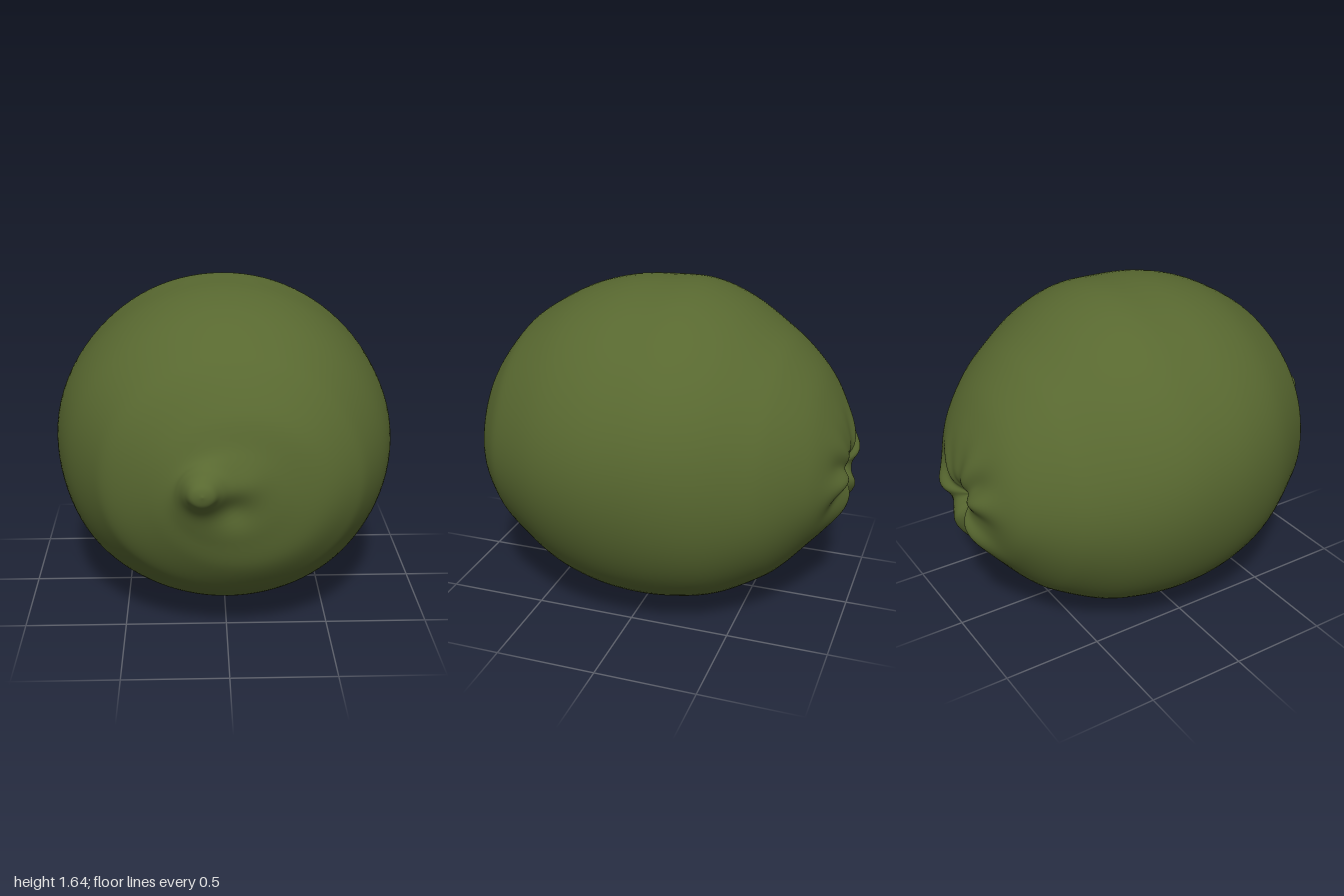
import * as THREE from 'three';
import { mergeVertices } from 'three/addons/utils/BufferGeometryUtils.js';

// Cross-sections from blossom tip to stem end: z, left x, right x, bottom y, top y
const SECTIONS = [
  [1.0, -0.12, -0.12, 0.9, 0.9],
  [0.985, -0.17, -0.07, 0.85, 0.94],
  [0.94, -0.2, -0.03, 0.81, 0.97],
  [0.89, -0.23, 0.05, 0.74, 1.0],
  [0.85, -0.27, 0.26, 0.61, 1.06],
  [0.8, -0.37, 0.45, 0.46, 1.2],
  [0.7, -0.55, 0.59, 0.32, 1.35],
  [0.6, -0.64, 0.67, 0.23, 1.445],
  [0.4, -0.765, 0.775, 0.1, 1.56],
  [0.2, -0.83, 0.83, 0.03, 1.62],
  [0.0, -0.85, 0.845, 0.003, 1.637],
  [-0.2, -0.835, 0.83, 0.012, 1.632],
  [-0.4, -0.77, 0.765, 0.055, 1.56],
  [-0.6, -0.66, 0.645, 0.16, 1.43],
  [-0.7, -0.59, 0.565, 0.24, 1.35],
  [-0.8, -0.5, 0.46, 0.35, 1.245],
  [-0.87, -0.42, 0.37, 0.435, 1.14],
  [-0.93, -0.3, 0.25, 0.53, 1.02],
  [-0.965, -0.19, 0.13, 0.62, 0.9],
  [-0.97, -0.09, 0.03, 0.7, 0.81],
  [-0.965, -0.03, -0.03, 0.75, 0.75],
];

const bump = (d, width) => Math.exp(-((d / width) ** 2));

// Soft dents beside the tip and a puckered star of folds round the stem scar
function shapeSkin(p) {
  if (p.z > 0.7) {
    p.z -= 0.03 * bump(Math.hypot(p.x - 0.02, p.y - 0.78), 0.08);
    p.z += 0.015 * bump(Math.hypot(p.x - 0.08, p.y - 0.9), 0.08);
  }
  if (p.z < -0.6) {
    const dx = p.x + 0.03, dy = p.y - 0.75;
    const r = Math.hypot(dx, dy), a = Math.atan2(dy, dx);
    const folds = Math.cos(6 * a + 0.8) + 0.6 * Math.cos(5 * a - 1) + 0.4 * Math.cos(9 * a);
    p.z += 0.06 * bump(r, 0.07) - 0.017 * folds * bump(r - 0.2, 0.11);
    p.z = Math.max(p.z, -1);
  }
  return p;
}

function fruitGeometry() {
  const rings = 120, sides = 96;
  const spline = (fn) => new THREE.SplineCurve(SECTIONS.map((s) => new THREE.Vector2(...fn(s))));
  const horizontal = spline(([, l, r]) => [(l + r) / 2, (r - l) / 2]);
  const vertical = spline(([, , , b, t]) => [(b + t) / 2, (t - b) / 2]);
  const depth = spline(([z]) => [z, 0]);
  const positions = [], index = [];
  for (let i = 0; i <= rings; i++) {
    const t = i / rings;
    const h = horizontal.getPoint(t), v = vertical.getPoint(t), z = depth.getPoint(t).x;
    for (let j = 0; j < sides; j++) {
      const a = (j / sides) * Math.PI * 2;
      // gentle unevenness of the rind
      const k = 1 + 0.006 * Math.sin(5 * a + 3 * z) * Math.cos(a) ** 2;
      const p = shapeSkin(new THREE.Vector3(
        h.x + h.y * k * Math.cos(a), v.x + v.y * k * Math.sin(a), z));
      positions.push(p.x, p.y, p.z);
      if (i < rings) {
        const n = (j + 1) % sides;
        const a0 = i * sides + j, a1 = i * sides + n;
        const b0 = a0 + sides, b1 = a1 + sides;
        // single triangles at the two closed ends
        if (i < rings - 1) index.push(a0, b0, b1);
        else index.push(a0, b0, a1);
        if (i > 0 && i < rings - 1) index.push(a0, b1, a1);
      }
    }
  }
  const geometry = new THREE.BufferGeometry();
  geometry.setAttribute('position', new THREE.Float32BufferAttribute(positions, 3));
  geometry.setIndex(index);
  const merged = mergeVertices(geometry, 1e-5);
  merged.computeVertexNormals();
  return merged;
}

export function createModel() {
  const group = new THREE.Group();
  group.name = 'lime';
  const rind = new THREE.MeshStandardMaterial({ color: 0x586830 });
  rind.name = 'green rind';
  const fruit = new THREE.Mesh(fruitGeometry(), rind);
  fruit.name = 'fruit';
  group.add(fruit);
  return group;
}
